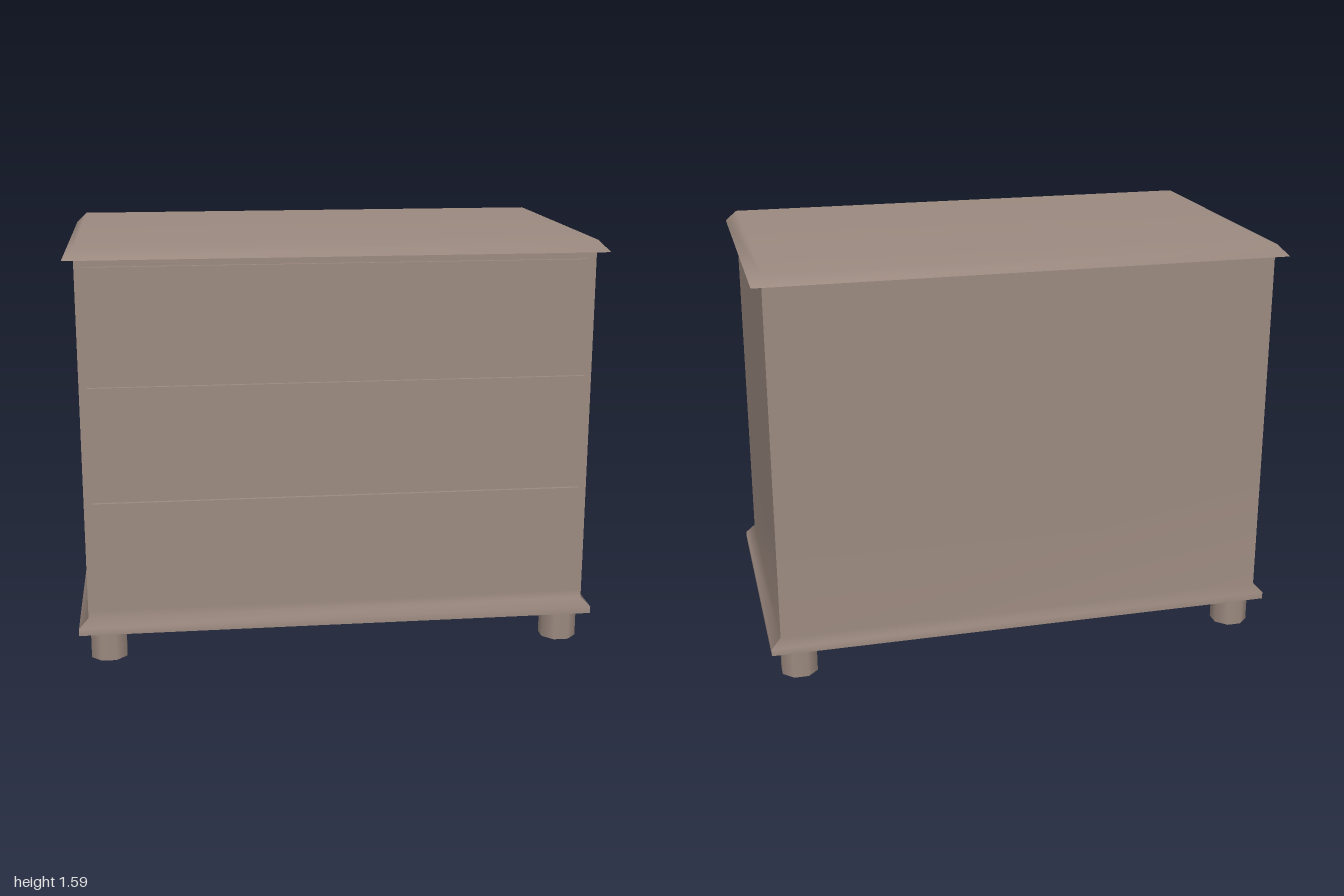
import * as THREE from 'three';
import { mergeGeometries } from 'three/addons/utils/BufferGeometryUtils.js';

// Corner signs, counter-clockwise seen from above
const CORNERS = [[1, 1], [1, -1], [-1, -1], [-1, 1]];

function makeGeometry(points, index) {
  const g = new THREE.BufferGeometry();
  g.setAttribute('position', new THREE.Float32BufferAttribute(points.flat(), 3));
  g.setIndex(index);
  g.computeVertexNormals();
  return g;
}

// One rectangular ring [y, halfWidth, halfDepth] as four corner points
const ring = ([y, hx, hz]) => CORNERS.map(([sx, sz]) => [sx * hx, y, sz * hz]);

// One wall of a stack of rings, smooth up its height and sharp at the corners
function wall(rings, side) {
  const points = rings.flatMap(r => {
    const c = ring(r);
    return [c[side], c[(side + 1) % 4]];
  });
  const index = [];
  for (let i = 0; i < rings.length - 1; i++) {
    const a = i * 2;
    index.push(a, a + 1, a + 3, a, a + 3, a + 2);
  }
  return makeGeometry(points, index);
}

// Flat cap over a ring, facing up or down
const cap = (r, up) => makeGeometry(ring(r), up ? [0, 1, 2, 0, 2, 3] : [0, 2, 1, 0, 3, 2]);

// Bevelled slab with the top and bevels shaded as one smooth surface
function bevelledSlab(low, high) {
  const index = [4, 5, 6, 4, 6, 7];
  for (let i = 0; i < 4; i++) {
    const j = (i + 1) % 4;
    index.push(i, j, j + 4, i, j + 4, i + 4);
  }
  return mergeGeometries([makeGeometry([...ring(low), ...ring(high)], index), cap(low, false)]);
}

export function createModel() {
  const group = new THREE.Group();
  const wood = new THREE.MeshStandardMaterial({ color: 0x9c8a80 });
  wood.name = 'greyBrownWood';

  const add = (name, geometry, x = 0, y = 0, z = 0) => {
    const mesh = new THREE.Mesh(geometry, wood);
    mesh.name = name;
    mesh.position.set(x, y, z);
    group.add(mesh);
  };

  // Carcass with flared plinth
  const profile = [
    [0.113, 0.997, 0.56],
    [0.14, 0.997, 0.56],
    [0.178, 0.96, 0.545],
    [0.65, 0.96, 0.545],
    [1.55, 0.96, 0.545],
  ];
  // The front wall straightens just above the plinth
  const frontProfile = profile.map(r => (r[0] === 0.65 ? [0.21, r[1], r[2]] : r));
  add('carcass', mergeGeometries([
    ...[0, 1, 2].map(side => wall(profile, side)),
    wall(frontProfile, 3),
    cap(profile[0], false),
    cap(profile[4], true),
  ]));

  // Overhanging bevelled top
  add('topBoard', bevelledSlab([1.547, 1, 0.591], [1.59, 0.957, 0.565]));

  // Three raised drawer fronts
  const drawers = [['lowerDrawer', 0.21, 0.634], ['middleDrawer', 0.69, 1.075], ['upperDrawer', 1.13, 1.518]];
  for (const [name, y0, y1] of drawers) {
    add(name, new THREE.BoxGeometry(1.86, y1 - y0, 0.02), 0, (y0 + y1) / 2, 0.549);
  }

  // Four short octagonal feet
  const foot = new THREE.CylinderGeometry(0.073, 0.073, 0.12, 8);
  foot.rotateY(Math.PI / 8);
  for (const [sx, sz] of CORNERS) {
    add(`${sz > 0 ? 'front' : 'back'}${sx > 0 ? 'Left' : 'Right'}Foot`, foot, sx * 0.888, 0.06, sz * 0.475);
  }

  return group;
}
